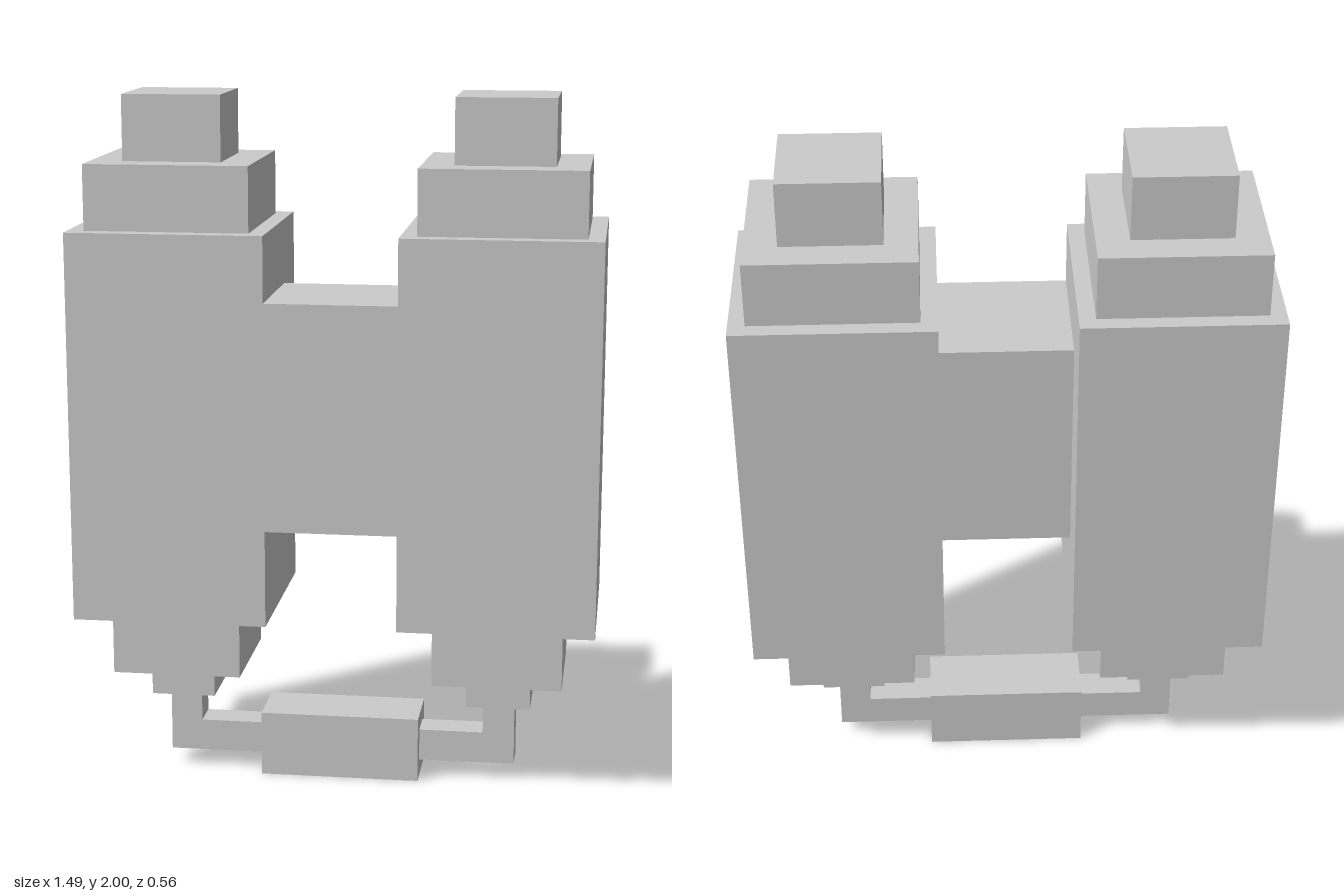
import * as THREE from 'three';

const material = new THREE.MeshStandardMaterial({ color: 0xcccccc, flatShading: true });

// Box given by its centre x, bottom and top y, width, and z range
function addBox(parent, name, x, y0, y1, width, zBack, zFront) {
  const mesh = new THREE.Mesh(new THREE.BoxGeometry(width, y1 - y0, zFront - zBack), material);
  mesh.position.set(x, (y0 + y1) / 2, (zBack + zFront) / 2);
  mesh.name = name;
  parent.add(mesh);
}

// Stacked square sections of one tank: name, bottom, top, width
const sections = [
  ['nozzle', 0.236, 0.329, 0.186],
  ['tankBase', 0.329, 0.515, 0.372],
  ['tankBody', 0.515, 1.629, 0.557],
  ['tankShoulder', 1.629, 1.814, 0.464],
  ['tankCap', 1.814, 2, 0.279],
];

export function createModel() {
  const model = new THREE.Group();
  model.name = 'twinTankPack';

  for (const side of [1, -1]) {
    const label = side > 0 ? 'left' : 'right';
    const tank = new THREE.Group();
    tank.name = label + 'Tank';
    for (const [name, y0, y1, w] of sections) {
      addBox(tank, name, side * 0.465, y0, y1, w, -w / 2, w / 2);
    }
    model.add(tank);

    // Elbow pipe from the nozzle down and in to the central block
    const outline = [[0.232, 0.05], [0.511, 0.05], [0.511, 0.236], [0.419, 0.236], [0.419, 0.143], [0.232, 0.143]];
    const shape = new THREE.Shape(outline.map(([x, y]) => new THREE.Vector2(side * x, y)));
    const pipe = new THREE.Mesh(
      new THREE.ExtrudeGeometry(shape, { depth: 0.093, bevelEnabled: false }), material);
    pipe.position.z = -0.0465;
    pipe.name = label + 'ElbowPipe';
    model.add(pipe);
  }

  // Bridge between the tanks, flush with their front
  addBox(model, 'tankBridge', 0, 0.794, 1.443, 0.373, -0.094, 0.2785);
  // Block joining the two pipes
  addBox(model, 'pipeBlock', 0, 0, 0.19, 0.464, -0.093, 0.093);

  return model;
}
